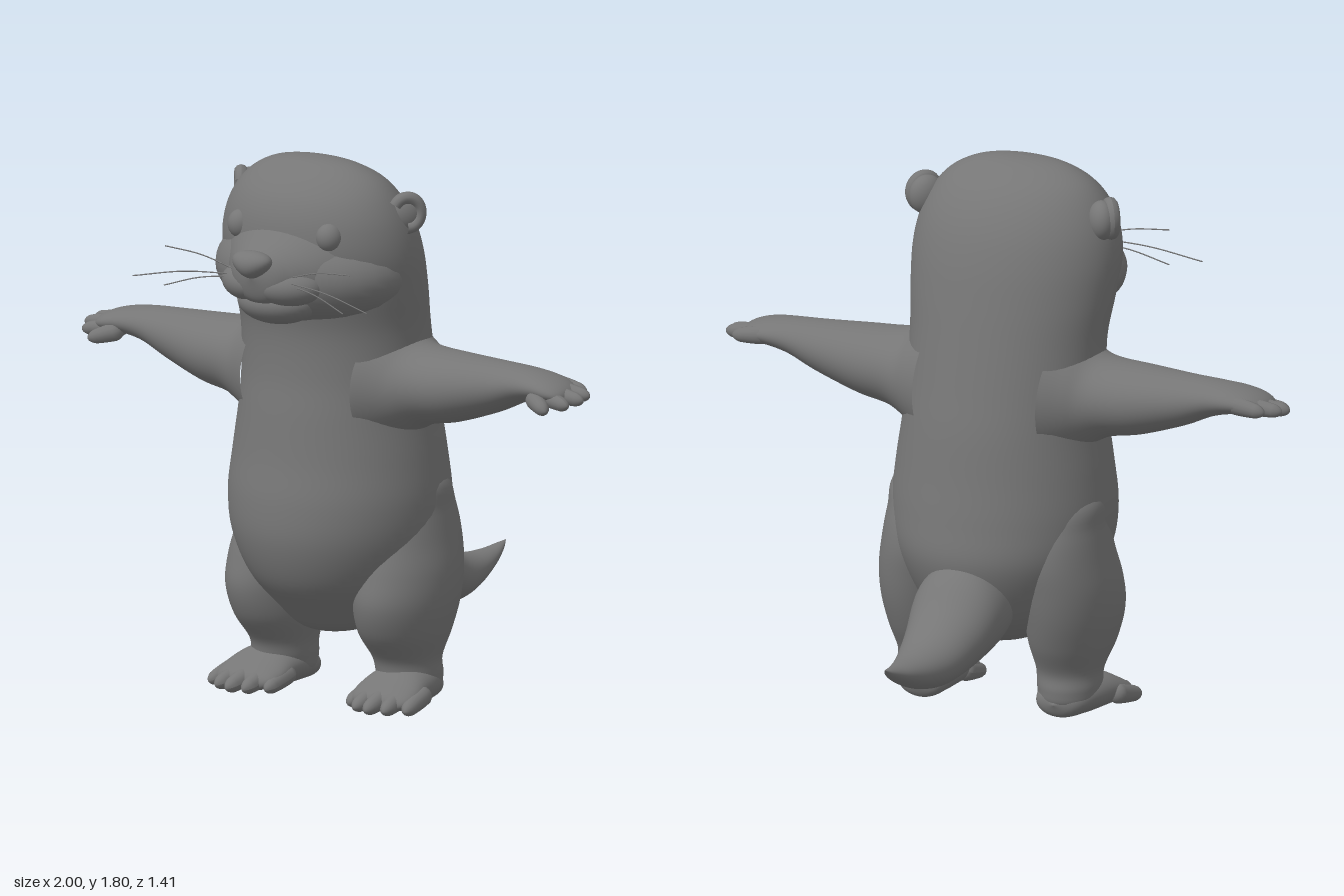
import * as THREE from 'three';

const X = new THREE.Vector3(1, 0, 0), Y = new THREE.Vector3(0, 1, 0), Z = new THREE.Vector3(0, 0, 1);
const material = new THREE.MeshStandardMaterial({ color: 0x767676 });

// Smooth skin through elliptical sections [x, y, z, a, b]; a lies along u, b along v.
function loft(keys, u, v, segs = 48, steps = 6) {
  const curve = (f) => new THREE.CatmullRomCurve3(keys.map(f), false, 'catmullrom', 0.5);
  const centres = curve((k) => new THREE.Vector3(k[0], k[1], k[2]));
  const radii = curve((k) => new THREE.Vector3(k[3], k[4], 0));
  const rows = (keys.length - 1) * steps, pos = [], index = [];
  for (let i = 0; i <= rows; i++) {
    const c = centres.getPoint(i / rows), r = radii.getPoint(i / rows);
    for (let j = 0; j < segs; j++) {
      const t = (j / segs) * Math.PI * 2;
      const p = c.clone().addScaledVector(u, Math.max(r.x, 0) * Math.cos(t))
        .addScaledVector(v, Math.max(r.y, 0) * Math.sin(t));
      pos.push(p.x, p.y, p.z);
      if (i < rows) {
        const a = i * segs + j, b = i * segs + (j + 1) % segs;
        index.push(a, b, a + segs, b, b + segs, a + segs);
      }
    }
  }
  const geo = new THREE.BufferGeometry();
  geo.setAttribute('position', new THREE.Float32BufferAttribute(pos, 3));
  geo.setIndex(index);
  geo.computeVertexNormals();
  return geo;
}

function ellipsoid(rx, ry, rz, x, y, z, turn = 0) {
  return new THREE.SphereGeometry(1, 32, 24).scale(rx, ry, rz).rotateY(turn).translate(x, y, z);
}

// Tapered rounded digit from p to q
function digit(p, q, r) {
  const a = new THREE.Vector3(...p), b = new THREE.Vector3(...q), d = b.clone().sub(a);
  const len = d.length();
  const geo = new THREE.CapsuleGeometry(r, len - 2 * r, 8, 14, 6);
  const pos = geo.attributes.position;
  for (let i = 0; i < pos.count; i++) {
    const t = pos.getY(i) / len + 0.5, s = 1 - 0.4 * t * t;
    pos.setXYZ(i, pos.getX(i) * s, pos.getY(i), pos.getZ(i) * s);
  }
  geo.computeVertexNormals();
  geo.applyQuaternion(new THREE.Quaternion().setFromUnitVectors(Y, d.normalize()));
  return geo.translate((p[0] + q[0]) / 2, (p[1] + q[1]) / 2, (p[2] + q[2]) / 2);
}

function mirrored(geo) {
  const m = geo.clone().scale(-1, 1, 1), idx = m.index.array;
  for (let i = 0; i < idx.length; i += 3) [idx[i], idx[i + 1]] = [idx[i + 1], idx[i]];
  m.computeVertexNormals();
  return m;
}

export function createModel() {
  const model = new THREE.Group();
  model.name = 'otter';
  const add = (name, geo) => {
    const mesh = new THREE.Mesh(geo, material);
    mesh.name = name;
    model.add(mesh);
  };
  const pair = (name, geo) => {
    add('left' + name, geo);
    add('right' + name, mirrored(geo));
  };

  // Torso and head in one skin: [y, front z, back z, half width]
  const torso = [
    [0.215, 0.2, 0.2, 0], [0.245, 0.32, 0.04, 0.12], [0.32, 0.4, -0.08, 0.21], [0.42, 0.485, -0.145, 0.29],
    [0.55, 0.53, -0.185, 0.35], [0.68, 0.53, -0.17, 0.368], [0.82, 0.505, -0.145, 0.357], [0.97, 0.485, -0.12, 0.337],
    [1.1, 0.467, -0.09, 0.33], [1.25, 0.467, -0.055, 0.33], [1.38, 0.5, -0.024, 0.345], [1.5, 0.535, 0.008, 0.353],
    [1.6, 0.53, 0.046, 0.337], [1.68, 0.5, 0.094, 0.3], [1.74, 0.45, 0.151, 0.247], [1.78, 0.395, 0.218, 0.173],
    [1.797, 0.355, 0.265, 0.095], [1.803, 0.31, 0.31, 0],
  ];
  add('bodyAndHead', loft(torso.map(([y, f, b, w]) => [0, y, (f + b) / 2, (f - b) / 2, w]), Z, X, 64));

  // Face
  add('jaw', ellipsoid(0.345, 0.178, 0.265, 0, 1.44, 0.32));
  add('muzzle', loft([
    [0, 1.47, 0.42, 0.28, 0.21], [0, 1.46, 0.5, 0.215, 0.157], [0, 1.452, 0.56, 0.16, 0.117], [0, 1.452, 0.6, 0.125, 0.095],
    [0, 1.455, 0.64, 0.08, 0.068], [0, 1.46, 0.662, 0, 0],
  ], X, Y));
  pair('LipPad', ellipsoid(0.11, 0.06, 0.075, 0.083, 1.422, 0.565, 0.45));
  add('chin', ellipsoid(0.14, 0.072, 0.115, 0, 1.358, 0.512));
  const nose = new THREE.SphereGeometry(1, 32, 24), np = nose.attributes.position;
  for (let i = 0; i < np.count; i++) np.setX(i, np.getX(i) * (0.8 + 0.3 * np.getY(i)));
  nose.scale(0.085, 0.045, 0.05).translate(0, 1.502, 0.652);
  nose.computeVertexNormals();
  add('nose', nose);
  pair('Eye', ellipsoid(0.045, 0.048, 0.045, 0.177, 1.583, 0.474));

  // Ears: a rounded lobe with a curled rim open to the lower front
  pair('Ear', ellipsoid(0.06, 0.065, 0.045, 0.313, 1.645, 0.245, 0.9));
  pair('EarRim', new THREE.TorusGeometry(0.046, 0.019, 10, 28, 4.2)
    .rotateZ(-1.6).scale(1, 1.08, 1.2).rotateY(0.9).translate(0.333, 1.648, 0.267));

  // Whiskers: [root, tip]
  const whiskers = [
    [[0.1, 1.46, 0.6], [0.37, 1.51, 0.625]],
    [[0.1, 1.45, 0.61], [0.47, 1.405, 0.665]],
    [[0.1, 1.44, 0.6], [0.36, 1.385, 0.645]],
  ];
  for (const [a, b] of whiskers) {
    const mid = a.map((n, k) => (n + b[k]) / 2 + (k === 1 ? 0.012 : 0));
    const path = new THREE.CatmullRomCurve3([a, mid, b].map((p) => new THREE.Vector3(...p)));
    pair('Whisker', new THREE.TubeGeometry(path, 12, 0.0022, 5));
  }

  // Arms held out sideways, flaring into the shoulder, with five-fingered paws
  pair('Arm', loft([
    [0.22, 1.06, 0.185, 0.21, 0.24], [0.28, 1.063, 0.187, 0.175, 0.2], [0.33, 1.066, 0.19, 0.146, 0.173],
    [0.39, 1.075, 0.19, 0.126, 0.154], [0.5, 1.083, 0.19, 0.112, 0.138], [0.65, 1.105, 0.185, 0.083, 0.107],
    [0.75, 1.125, 0.185, 0.058, 0.092], [0.83, 1.13, 0.19, 0.044, 0.09], [0.89, 1.123, 0.195, 0.036, 0.083],
    [0.93, 1.115, 0.2, 0.022, 0.055], [0.945, 1.11, 0.2, 0, 0],
  ], Y, Z));
  const fingerTips = [[0.95, 1.115, 0.128], [0.993, 1.113, 0.17], [1.0, 1.106, 0.215], [0.975, 1.093, 0.264], [0.92, 1.075, 0.308]];
  fingerTips.forEach((tip, i) => pair('Finger', digit([0.82, 1.13 - i * 0.006, 0.134 + i * 0.029], tip, 0.031)));

  // Legs, with hips flowing into the torso, and feet
  pair('Leg', loft([
    [0.25, 0.02, 0.13, 0, 0], [0.25, 0.05, 0.13, 0.09, 0.085], [0.25, 0.1, 0.14, 0.115, 0.103], [0.247, 0.16, 0.15, 0.122, 0.108],
    [0.25, 0.25, 0.165, 0.18, 0.135], [0.255, 0.35, 0.165, 0.213, 0.15], [0.25, 0.45, 0.148, 0.215, 0.155],
    [0.235, 0.55, 0.13, 0.205, 0.153], [0.225, 0.65, 0.125, 0.18, 0.146], [0.215, 0.75, 0.13, 0.13, 0.137],
    [0.2, 0.85, 0.15, 0, 0],
  ], Z, X));
  pair('Foot', loft([
    [0.245, 0.06, 0.025, 0, 0], [0.245, 0.06, 0.05, 0.07, 0.045], [0.255, 0.072, 0.12, 0.1, 0.066],
    [0.265, 0.071, 0.22, 0.116, 0.067], [0.27, 0.055, 0.3, 0.122, 0.047], [0.27, 0.042, 0.35, 0.095, 0.028],
    [0.27, 0.037, 0.37, 0, 0],
  ], X, Y));
  [0.36, 0.405, 0.42, 0.4, 0.36].forEach((z, i) => {
    const x = 0.157 + i * 0.057;
    pair('Toe', digit([0.27 + (x - 0.27) * 0.85, 0.064, z - 0.15], [x + 0.008, 0.026, z], 0.034));
  });

  // Tail: [z, top y, bottom y, half width]
  const tail = [
    [0.02, 0.53, 0.29, 0.13], [-0.1, 0.55, 0.25, 0.155], [-0.19, 0.54, 0.227, 0.152], [-0.3, 0.44, 0.212, 0.127],
    [-0.4, 0.378, 0.211, 0.104], [-0.5, 0.35, 0.235, 0.076], [-0.6, 0.345, 0.28, 0.046], [-0.67, 0.352, 0.322, 0.02],
    [-0.707, 0.356, 0.356, 0],
  ];
  add('tail', loft(tail.map(([z, t, b, w]) => [0, (t + b) / 2, z, (t - b) / 2, w]), Y, X));
  return model;
}
